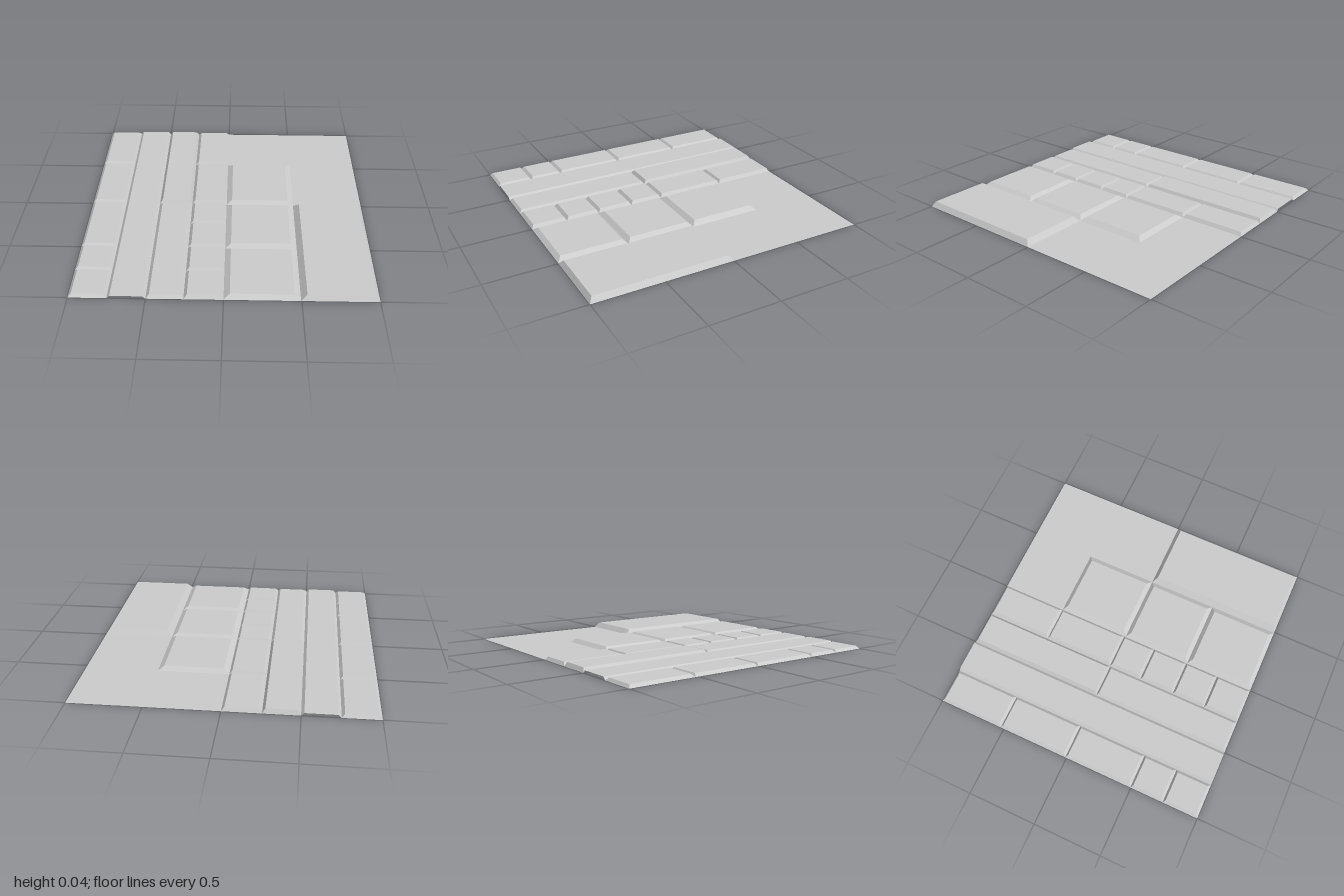
import * as THREE from 'three';

const material = new THREE.MeshStandardMaterial({ color: 0xcccccc, flatShading: true, side: THREE.DoubleSide });

// Open-bottomed plate with sloping edges; bevels = [left, right, back, front]
function plate(name, x0, x1, z0, z1, h, [bl, br, bb, bf], openEnds = false) {
  const low = [[x0, 0, z1], [x1, 0, z1], [x1, 0, z0], [x0, 0, z0]];
  const top = [[x0 + bl, h, z1 - bf], [x1 - br, h, z1 - bf], [x1 - br, h, z0 + bb], [x0 + bl, h, z0 + bb]];
  const points = [];
  const quad = (a, b, c, d) => points.push(...a, ...b, ...c, ...a, ...c, ...d);
  quad(...top);
  for (let i = 0; i < 4; i++) {
    if (openEnds && i % 2 === 0) continue;
    const j = (i + 1) % 4;
    quad(low[i], low[j], top[j], top[i]);
  }
  const geometry = new THREE.BufferGeometry();
  geometry.setAttribute('position', new THREE.Float32BufferAttribute(points, 3));
  geometry.computeVertexNormals();
  const mesh = new THREE.Mesh(geometry, material);
  mesh.name = name;
  return mesh;
}

// Row of plates between successive z cuts
function column(name, x0, x1, cuts, heights, bevels) {
  const group = new THREE.Group();
  group.name = name;
  for (let i = 0; i < cuts.length - 1; i++) {
    group.add(plate(`${name}Plate${i + 1}`, x0, x1, cuts[i], cuts[i + 1], heights[i % heights.length], bevels));
  }
  return group;
}

// Flat ground-level sheet
function sheet(name, x0, x1, z0, z1) {
  const geometry = new THREE.PlaneGeometry(x1 - x0, z1 - z0).rotateX(-Math.PI / 2);
  geometry.translate((x0 + x1) / 2, 0, (z0 + z1) / 2);
  const mesh = new THREE.Mesh(geometry, material);
  mesh.name = name;
  return mesh;
}

export function createModel() {
  const model = new THREE.Group();
  model.name = 'panelledFloor';

  // Narrow columns on the right-hand side of the panel
  model.add(column('outerColumn', -1, -0.75, [-1, -0.525, -0.01, 0.495, 0.74, 1], [0.02], [0.02, 0.02, 0.015, 0.018]));
  model.add(plate('longStrip', -0.75, -0.5, -1, 1, 0.02, [0.02, 0.02, 0, 0], true));
  model.add(column('middleColumn', -0.5, -0.257, [-1, -0.005, 1], [0.03, 0.022], [0.022, 0.02, 0.015, 0.018]));
  model.add(column('innerColumn', -0.257, 0, [-1, -0.525, -0.01, 0.235, 0.495, 0.74, 1], [0.024], [0.022, 0.02, 0.015, 0.018]));

  // Wide bevelled plates
  model.add(column('squareColumn', 0, 0.495, [-0.525, 0, 0.5, 1], [0.027], [0.04, 0.04, 0.03, 0.03]));
  model.add(plate('largePlate', 0.495, 1, 0, 1, 0.038, [0.04, 0.025, 0.03, 0.022]));

  // Flat areas at the back
  model.add(sheet('backSheet', 0, 1, -1, -0.525));
  model.add(sheet('sideSheet', 0.495, 1, -0.525, 0));
  return model;
}
